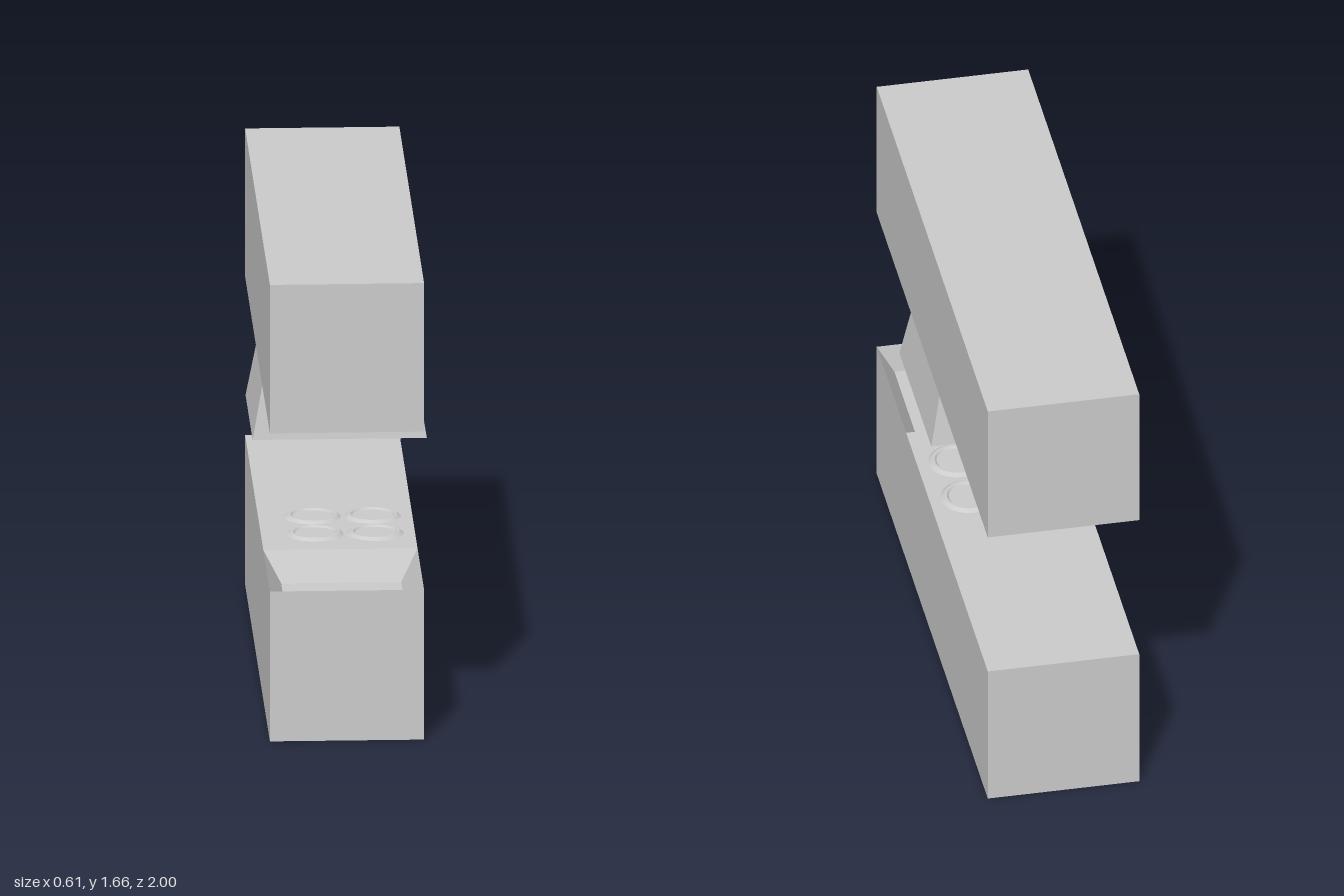
import * as THREE from 'three';

const material = new THREE.MeshStandardMaterial({ color: 0xcccccc, flatShading: true });

// Box between two rectangles [x0, x1, z0, z1] at heights y0 and y1.
function taperedBox(y0, y1, low, high = low) {
  const geometry = new THREE.BoxGeometry(1, 1, 1);
  const p = geometry.attributes.position;
  for (let i = 0; i < p.count; i++) {
    const top = p.getY(i) > 0;
    const r = top ? high : low;
    p.setXYZ(i, p.getX(i) < 0 ? r[0] : r[1], top ? y1 : y0, p.getZ(i) < 0 ? r[2] : r[3]);
  }
  geometry.computeVertexNormals();
  return geometry;
}

// Removes the top face; inside = true turns the remaining faces inward.
function openTop(geometry, inside = false) {
  const index = Array.from(geometry.index.array);
  index.splice(12, 6);
  geometry.setIndex(inside ? index.reverse() : index);
  geometry.computeVertexNormals();
  return geometry;
}

export function createModel() {
  const model = new THREE.Group();
  const add = (name, geometry, parent = model) => {
    const mesh = new THREE.Mesh(geometry, material);
    mesh.name = name;
    parent.add(mesh);
    return mesh;
  };
  const W = 0.27, counterY = 0.545, sinkBack = 0.47;
  const footprint = [-W, W, -1, 1];

  // Base cabinet with worktop behind the sink
  add('baseCabinet', openTop(taperedBox(0, counterY, footprint)));
  const worktop = new THREE.PlaneGeometry(2 * W, 1 + sinkBack).rotateX(-Math.PI / 2);
  add('worktop', worktop).position.set(0, counterY, (sinkBack - 1) / 2);

  // Sink basin sunk into the front end
  add('sinkBasin', openTop(taperedBox(counterY - 0.105, counterY,
    [-W + 0.06, W - 0.06, sinkBack + 0.06, 0.985], [-W, W, sinkBack, 1]), true));

  // Four hob rings with a raised bevelled rim
  const profile = [[0.1, 0], [0.086, 0.01], [0.077, 0.01], [0.07, 0.003], [0, 0.003]]
    .map(([r, y]) => new THREE.Vector2(r, y));
  const ring = new THREE.LatheGeometry(profile, 32);
  const p = ring.attributes.position;
  // Keep the faces pointing upward
  const e = ring.index.array;
  const corner = (i) => new THREE.Vector3().fromBufferAttribute(p, e[i]);
  const normal = new THREE.Triangle(corner(0), corner(1), corner(2)).getNormal(new THREE.Vector3());
  if (normal.y < 0) {
    ring.setIndex(Array.from(e).reverse());
    ring.computeVertexNormals();
  }
  const hob = new THREE.Group();
  hob.name = 'hob';
  model.add(hob);
  for (const x of [-0.08, 0.13]) {
    for (const z of [0.05, 0.27]) add('burner', ring, hob).position.set(x, counterY, z);
  }

  // Wall cabinet with the flared extractor hood beneath it
  add('wallCabinet', taperedBox(1.12, 1.66, footprint));
  add('extractorHood', taperedBox(0.93, 1.12, [-0.305, 0.305, -0.16, 0.415], [-W, W, -0.13, 0.385]));

  return model;
}
